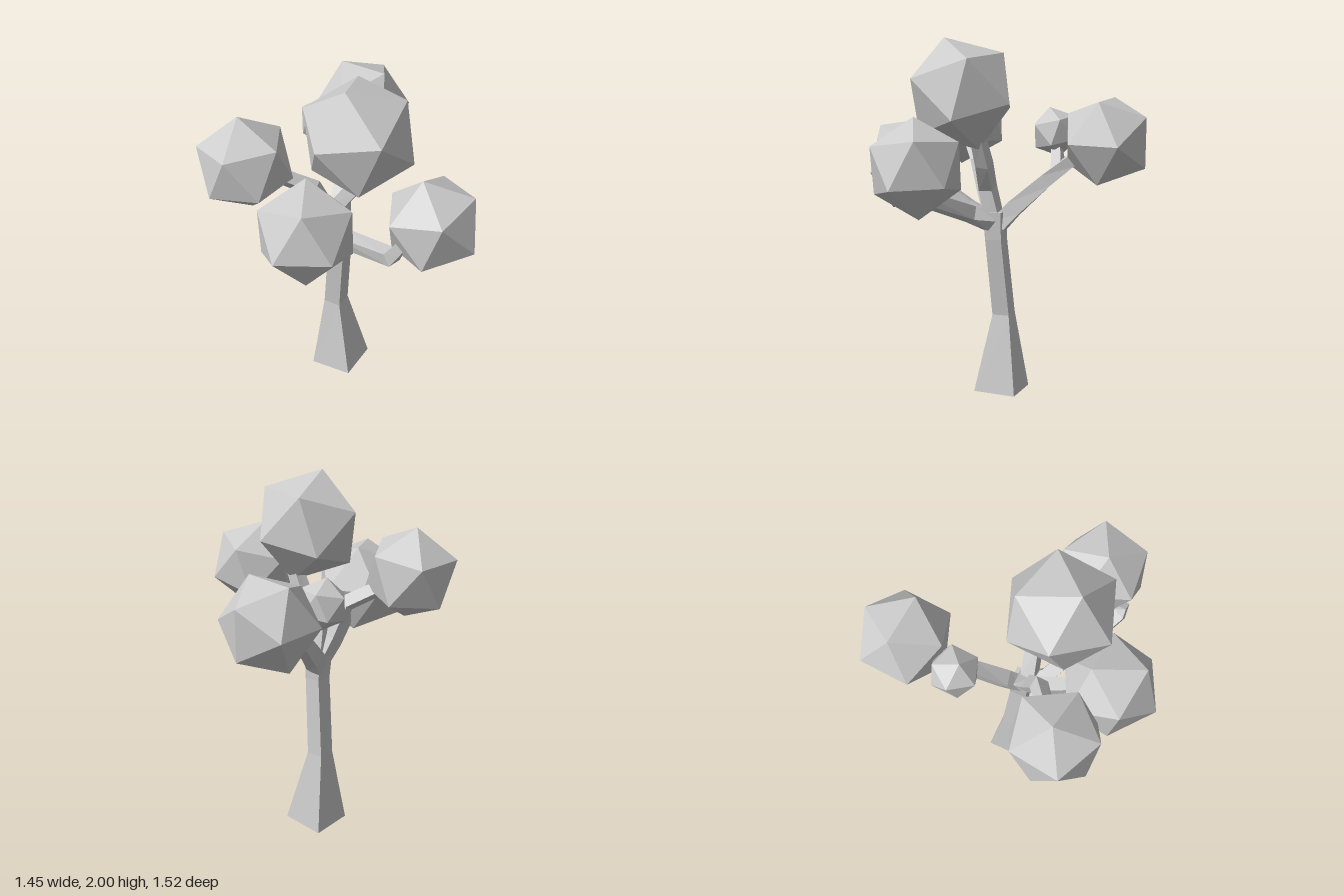
import * as THREE from 'three';

const V = (a) => new THREE.Vector3(...a);

// Square tapered limb through points [x, y, z, radius], capped at both ends
function limbGeometry(points) {
  const c = points.map((p) => V(p.slice(0, 3)));
  const last = c.length - 1;
  const pos = [];
  const index = [];
  c.forEach((p, i) => {
    const t = c[Math.min(i + 1, last)].clone().sub(c[Math.max(i - 1, 0)]).normalize();
    const u = new THREE.Vector3(0.47, 0, 0.88).projectOnPlane(t).normalize();
    const v = t.clone().cross(u);
    for (let k = 0; k < 4; k++) {
      const a = (k * Math.PI) / 2;
      const q = p.clone()
        .addScaledVector(u, points[i][3] * Math.cos(a))
        .addScaledVector(v, points[i][3] * Math.sin(a));
      pos.push(q.x, q.y, q.z);
    }
  });
  for (let i = 0; i < last; i++) {
    for (let k = 0; k < 4; k++) {
      const a = i * 4 + k;
      const b = i * 4 + ((k + 1) % 4);
      index.push(a, b, b + 4, a, b + 4, a + 4);
    }
  }
  const e = last * 4;
  index.push(0, 2, 1, 0, 3, 2, e, e + 1, e + 2, e, e + 2, e + 3);
  const geo = new THREE.BufferGeometry();
  geo.setAttribute('position', new THREE.Float32BufferAttribute(pos, 3));
  geo.setIndex(index);
  const flat = geo.toNonIndexed();
  flat.computeVertexNormals();
  return flat;
}

// Right-handed frame whose first axis is a, with b in the plane of the first two
function frame(a, b) {
  const x = a.clone().normalize();
  const y = b.clone().projectOnPlane(x).normalize();
  return new THREE.Matrix4().makeBasis(x, y, x.clone().cross(y));
}

// Icosahedron turned so that two neighbouring corners point along a and b
function leafBall(radius, a, b) {
  const t = (1 + Math.sqrt(5)) / 2;
  const own = frame(V([-1, t, 0]), V([0, 1, t]));
  const turn = frame(V(a), V(b)).multiply(own.invert());
  return new THREE.IcosahedronGeometry(radius, 0).applyMatrix4(turn);
}

export function createModel() {
  const tree = new THREE.Group();
  tree.name = 'tree';
  const material = new THREE.MeshStandardMaterial({ color: 0xcccccc, flatShading: true });
  const add = (name, geometry, at = [0, 0, 0]) => {
    const mesh = new THREE.Mesh(geometry, material);
    mesh.name = name;
    mesh.position.set(...at);
    tree.add(mesh);
  };

  // Trunk and branches
  const limbs = {
    trunk: [[-0.05, 0.012, 0.015, 0.17], [-0.077, 0.455, 0.005, 0.069],
      [-0.042, 0.9, 0.045, 0.066], [-0.045, 1.05, 0.05, 0.075]],
    backBranch: [[-0.045, 0.97, 0.03, 0.06], [-0.06, 1.06, -0.05, 0.062],
      [-0.08, 1.22, -0.23, 0.052], [-0.07, 1.33, -0.36, 0.045], [-0.05, 1.42, -0.5, 0.04]],
    backTwig: [[-0.08, 1.27, -0.29, 0.04], [-0.13, 1.35, -0.29, 0.04], [-0.2, 1.46, -0.275, 0.03]],
    leftBranch: [[-0.045, 0.98, 0.05, 0.06], [0, 1.04, 0.18, 0.055],
      [0.33, 1.23, 0.52, 0.05], [0.36, 1.29, 0.53, 0.04]],
    frontBranch: [[-0.045, 0.99, 0.06, 0.06], [-0.07, 1.07, 0.2, 0.055], [-0.1, 1.23, 0.42, 0.045]],
    topBranch: [[-0.045, 0.99, 0.05, 0.06], [-0.05, 1.18, 0.09, 0.055],
      [0.06, 1.33, 0.1, 0.052], [0.14, 1.5, 0.13, 0.045]],
    rightBranch: [[-0.045, 1.0, 0.05, 0.06], [-0.1, 1.14, 0.1, 0.055],
      [-0.16, 1.32, 0.15, 0.05], [-0.36, 1.43, 0.22, 0.045]],
  };
  for (const [name, points] of Object.entries(limbs)) add(name, limbGeometry(points));

  // Foliage: name, centre, radius, directions of two neighbouring corners
  const foliage = [
    ['topFoliage', [0.095, 1.71, 0.215], 0.308, [-0.045, 0.29, 0.095], [-0.29, 0.11, -0.025]],
    ['rightFoliage', [-0.483, 1.505, 0.265], 0.259, [-0.03, 0.257, -0.012], [0.193, 0.145, 0.086]],
    ['frontFoliage', [-0.105, 1.305, 0.513], 0.273, [0.026, 0.205, 0.165], [-0.104, -0.037, 0.252]],
    ['leftFoliage', [0.508, 1.38, 0.4], 0.257, [-0.055, 0.25, 0.018], [0.2, 0.16, -0.02]],
    ['backFoliage', [-0.045, 1.447, -0.552], 0.261, [0.255, 0, -0.052], [0.157, 0, 0.205]],
    ['smallFoliage', [-0.204, 1.472, -0.273], 0.14, [-0.01, 0.13, 0.03], [-0.13, 0.06, -0.02]],
  ];
  for (const [name, at, radius, a, b] of foliage) add(name, leafBall(radius, a, b), at);

  return tree;
}
